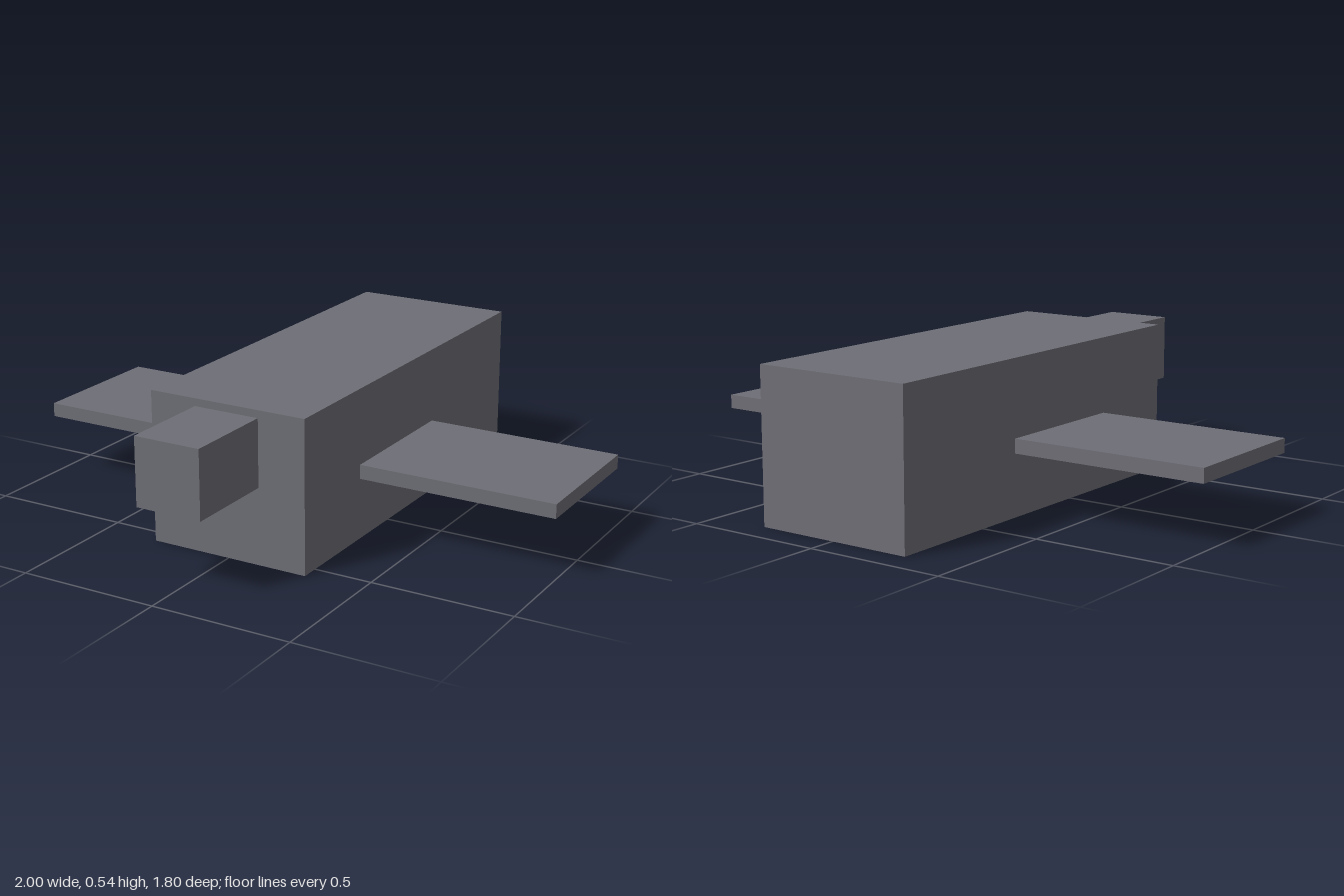
import * as THREE from 'three';

export function createModel() {
  const model = new THREE.Group();
  const slateGrey = new THREE.MeshStandardMaterial({ color: 0x6e6e76 });
  slateGrey.name = 'slateGrey';

  // Adds a box from its minimum and maximum corners
  function addBox(name, min, max) {
    const size = max.map((v, i) => v - min[i]);
    const mesh = new THREE.Mesh(new THREE.BoxGeometry(...size), slateGrey);
    mesh.position.set(...max.map((v, i) => (v + min[i]) / 2));
    mesh.name = name;
    model.add(mesh);
  }

  // Long body with a small head at the upper front
  addBox('body', [-0.293, 0, -0.9], [0.293, 0.535, 0.565]);
  addBox('head', [-0.12, 0.271, 0.565], [0.12, 0.508, 0.9]);

  // Thin flat wings
  addBox('leftWing', [0.293, 0.217, -0.327], [1, 0.267, 0.203]);
  addBox('rightWing', [-1, 0.217, -0.327], [-0.293, 0.267, 0.203]);

  return model;
}
